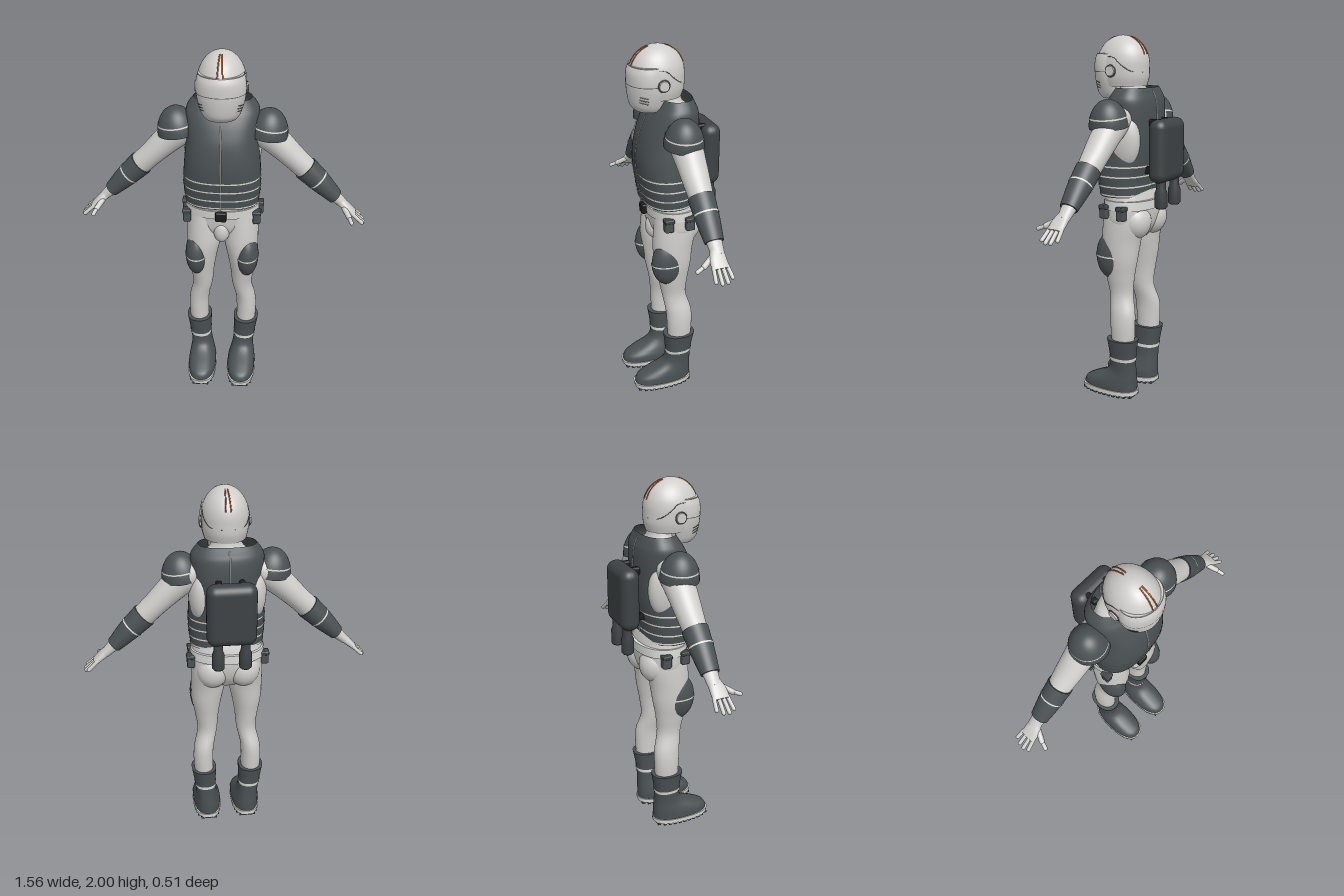
import * as THREE from 'three';
import { RoundedBoxGeometry } from 'three/addons/geometries/RoundedBoxGeometry.js';

const material = (name, color, side = THREE.FrontSide) => {
  const m = new THREE.MeshStandardMaterial({ color, side });
  m.name = name;
  return m;
};

// Vertical ring: height, centre x, half width, back z, front z -> [x, y, z, half depth, half width]
const ring = (y, cx, rx, zb, zf) => [cx, y, (zb + zf) / 2, (zf - zb) / 2, rx];
const spline = (a, b, c, d, t) => b + 0.5 * t * (c - a + t * (2 * a - 5 * b + 4 * c - d + t * (3 * (b - c) + d - a)));

// Fill in rings between the given ones on a smooth curve
function smooth(rings, k = 6) {
  const out = [], last = rings.length - 1;
  for (let i = 0; i < last; i++) {
    const [a, b, c, d] = [rings[Math.max(i - 1, 0)], rings[i], rings[i + 1], rings[Math.min(i + 2, last)]];
    for (let j = 0; j < k; j++) out.push(b.map((v, q) => spline(a[q], v, c[q], d[q], j / k)));
  }
  out.push(rings[last]);
  return out;
}

// Ring at height y in a dense list, grown by `grow`
function ringAt(dense, y, grow = 0) {
  let i = 0;
  while (i < dense.length - 2 && dense[i + 1][1] < y) i++;
  const t = (y - dense[i][1]) / (dense[i + 1][1] - dense[i][1]);
  return dense[i].map((v, q) => v + (dense[i + 1][q] - v) * t + (q > 2 ? grow : 0));
}

// Skin of superellipse rings; `dir` is the direction in which the rings advance
function loft(rings, { n = 2, caps = true, seg = 40, dir = [0, 1, 0] } = {}) {
  const U = new THREE.Vector3(0, 0, 1), V = new THREE.Vector3(...dir).normalize().cross(U);
  const pos = [], idx = [], p = new THREE.Vector3();
  const pow = (v) => Math.sign(v) * Math.abs(v) ** (2 / n);
  const addRing = ([x, y, z, ru, rv]) => {
    for (let j = 0; j < seg; j++) {
      const t = (j / seg) * Math.PI * 2;
      p.set(x, y, z).addScaledVector(U, ru * pow(Math.cos(t))).addScaledVector(V, rv * pow(Math.sin(t)));
      pos.push(p.x, p.y, p.z);
    }
  };
  rings.forEach(addRing);
  for (let i = 0; i < rings.length - 1; i++) for (let j = 0; j < seg; j++) {
    const a = i * seg + j, b = i * seg + (j + 1) % seg;
    idx.push(a, b, a + seg, b, b + seg, a + seg);
  }
  if (caps) [rings[0], rings[rings.length - 1]].forEach((r, end) => {
    const base = pos.length / 3;
    addRing(r);
    pos.push(r[0], r[1], r[2]);
    for (let j = 0; j < seg; j++) {
      const a = base + j, b = base + (j + 1) % seg;
      idx.push(base + seg, end ? a : b, end ? b : a);
    }
  });
  const g = new THREE.BufferGeometry();
  g.setAttribute('position', new THREE.Float32BufferAttribute(pos, 3));
  g.setIndex(idx);
  g.computeVertexNormals();
  return g;
}

export function createModel() {
  const model = new THREE.Group();
  const suit = material('light suit', 0xcfcecb);
  const armour = material('dark armour', 0x4b5153, THREE.DoubleSide);
  const trim = material('pale trim', 0xdadad6, THREE.DoubleSide);
  const packMat = material('pack charcoal', 0x3e4244);
  const black = material('black', 0x1b1c1d);
  const seam = material('seam grey', 0x5e6061, THREE.DoubleSide);
  const orange = material('orange', 0xc8662c);

  const add = (name, geo, mat, x = 0, y = 0, z = 0) => {
    const m = new THREE.Mesh(geo, mat);
    m.name = name;
    m.position.set(x, y, z);
    model.add(m);
    return m;
  };
  const ball = (name, mat, x, y, z, rx, ry, rz) =>
    add(name, new THREE.SphereGeometry(1, 32, 24), mat, x, y, z).scale.set(rx, ry, rz);
  const band = (name, dense, y, h, mat, n = 2, grow = 0.003) =>
    add(name, loft([ringAt(dense, y - h / 2, grow), ringAt(dense, y + h / 2, grow)], { n, caps: false }), mat);
  const capsule = (name, a, b, r, mat) => {
    const A = new THREE.Vector3(...a), B = new THREE.Vector3(...b), d = B.clone().sub(A);
    const m = add(name, new THREE.CapsuleGeometry(r, d.length(), 6, 12), mat);
    m.position.copy(A).add(B).multiplyScalar(0.5);
    m.quaternion.setFromUnitVectors(new THREE.Vector3(0, 1, 0), d.normalize());
  };
  const tube = (name, pts, r, mat) =>
    add(name, new THREE.TubeGeometry(new THREE.CatmullRomCurve3(pts.map((p) => new THREE.Vector3(...p))), 20, r, 6), mat);
  // Point on the side of a shell from height and depth
  const sidePoint = (dense, y, z, s) => {
    const r = ringAt(dense, y);
    return [s * r[4] * Math.sqrt(Math.max(0, 1 - ((z - r[2]) / r[3]) ** 2)), y, z];
  };

  // Hips, neck and belt
  const hips = smooth([ring(0.92, 0, 0.07, -0.08, 0.05), ring(0.99, 0, 0.185, -0.125, 0.105),
    ring(1.08, 0, 0.198, -0.14, 0.122), ring(1.16, 0, 0.188, -0.125, 0.13), ring(1.22, 0, 0.18, -0.1, 0.13)]);
  add('hips', loft(hips, { n: 2.2 }), suit);
  ball('groin', suit, 0, 0.99, 0.085, 0.045, 0.07, 0.045);
  add('belt', loft([ring(1.085, 0, 0.203, -0.15, 0.132), ring(1.135, 0, 0.2, -0.15, 0.137)], { n: 2.2 }), trim);
  add('buckle', new RoundedBoxGeometry(0.06, 0.055, 0.03, 2, 0.008), black, 0, 1.108, 0.142);
  add('neck', loft(smooth([ring(1.58, 0, 0.16, -0.12, 0.08), ring(1.67, 0, 0.13, -0.1, 0.06),
    ring(1.71, 0, 0.085, -0.07, 0.075), ring(1.78, 0, 0.075, -0.06, 0.1)])), suit);

  // Vest with open collar, trim lines and zip
  const vest = smooth([ring(1.155, 0, 0.198, -0.115, 0.15), ring(1.25, 0, 0.207, -0.12, 0.166),
    ring(1.33, 0, 0.206, -0.135, 0.178), ring(1.42, 0, 0.199, -0.145, 0.181), ring(1.52, 0, 0.19, -0.15, 0.166),
    ring(1.6, 0, 0.192, -0.15, 0.137), ring(1.66, 0, 0.192, -0.143, 0.105), ring(1.695, 0, 0.178, -0.13, 0.08),
    ring(1.73, 0, 0.15, -0.115, 0.06)]);
  add('vest', loft(vest, { n: 2.4, caps: false, seg: 56 }), armour);
  add('vestHem', loft(vest.slice(0, 2), { n: 2.4 }), armour);
  for (const y of [1.165, 1.212, 1.266, 1.32]) band('vestLine', vest, y, 0.008, trim, 2.4);
  const zip = (name, y0, y1, q) => add(name, loft(vest.filter((r) => r[1] > y0 && r[1] < y1).map((r) =>
    [0, r[1], r[2] + q * r[3], 0.003, 0.0035]), { seg: 8 }), trim);
  zip('frontZip', 1.15, 1.66, 1);
  zip('backSeam', 1.15, 1.72, -1);

  // Helmet, face mask and seams
  const helmet = smooth([ring(1.735, 0, 0.11, -0.07, 0.19), ring(1.78, 0, 0.121, -0.083, 0.207),
    ring(1.83, 0, 0.124, -0.085, 0.213), ring(1.87, 0, 0.122, -0.084, 0.211), ring(1.91, 0, 0.112, -0.074, 0.197),
    ring(1.95, 0, 0.09, -0.05, 0.172), ring(1.98, 0, 0.06, -0.012, 0.135), ring(1.995, 0, 0.03, 0.026, 0.097),
    ring(2, 0, 0.003, 0.06, 0.066)]);
  add('helmet', loft(helmet), suit);
  const mask = smooth([ring(1.67, 0, 0.082, 0.03, 0.18), ring(1.7, 0, 0.1, 0.015, 0.204),
    ring(1.76, 0, 0.118, 0.005, 0.216), ring(1.82, 0, 0.126, 0.01, 0.219), ring(1.87, 0, 0.123, 0.01, 0.217),
    ring(1.905, 0, 0.114, 0.015, 0.203)]);
  add('faceMask', loft(mask), suit);
  for (const y of [1.81, 1.902]) band('visorSeam', mask, y, 0.004, seam, 2, 0.001);

  for (const s of [-1, 1]) {
    // Helmet ear disc, vents, rim seam and stripes
    add('earDisc', new THREE.CylinderGeometry(0.026, 0.03, 0.02, 24), suit, s * 0.124, 1.815, 0.065).rotation.z = -s * Math.PI / 2;
    add('earRing', new THREE.TorusGeometry(0.03, 0.003, 8, 28), seam, s * 0.125, 1.815, 0.065).rotation.y = Math.PI / 2;
    for (const y of [1.722, 1.737, 1.752])
      tube('maskVent', [0.14, 0.16, 0.18].map((z, i) => sidePoint(mask, y + i * 0.004, z, s)), 0.0025, seam);
    tube('helmetRim', [[1.89, 0.09], [1.885, 0.05], [1.85, 0.01], [1.815, -0.04], [1.81, -0.08]].map(([y, z]) =>
      sidePoint(helmet, y, z, s)), 0.002, seam);
    for (const q of [1, -1]) tube('helmetStripe', [1.9, 1.93, 1.96, 1.982, 1.992].map((y, i) => {
      const r = ringAt(helmet, y);
      return [s * (0.014 - i * 0.002), y, r[2] + q * r[3]];
    }), 0.0035, orange);

    // Leg
    add('leg', loft(smooth([ring(0.32, s * 0.138, 0.055, -0.085, 0.05), ring(0.42, s * 0.14, 0.057, -0.09, 0.055),
      ring(0.5, s * 0.134, 0.056, -0.087, 0.06), ring(0.6, s * 0.113, 0.056, -0.062, 0.075),
      ring(0.7, s * 0.114, 0.067, -0.07, 0.096), ring(0.8, s * 0.113, 0.083, -0.087, 0.115),
      ring(0.9, s * 0.105, 0.095, -0.1, 0.123), ring(1, s * 0.103, 0.095, -0.12, 0.118),
      ring(1.09, s * 0.1, 0.09, -0.12, 0.11)])), suit);
    ball('buttock', suit, s * 0.085, 1.015, -0.065, 0.09, 0.1, 0.087);
    ball('thighPad', armour, s * 0.141, 0.82, 0.052, 0.064, 0.132, 0.092);
    add('thighPadLine', loft([0.816, 0.824].map((y) => ring(y, s * 0.141, 0.066, -0.042, 0.147)), { caps: false }), trim);

    // Boot, sole and treads
    const boot = smooth([ring(0.03, s * 0.117, 0.08, -0.087, 0.247), ring(0.07, s * 0.117, 0.081, -0.088, 0.235),
      ring(0.1, s * 0.119, 0.075, -0.088, 0.185), ring(0.14, s * 0.122, 0.064, -0.086, 0.1),
      ring(0.18, s * 0.126, 0.06, -0.085, 0.066), ring(0.25, s * 0.132, 0.063, -0.089, 0.063),
      ring(0.345, s * 0.138, 0.072, -0.105, 0.075)]);
    add('boot', loft(boot, { n: 2.3 }), armour);
    band('bootBand', boot, 0.23, 0.018, trim, 2.3);
    add('sole', loft([ring(0.012, s * 0.117, 0.082, -0.09, 0.25), ring(0.038, s * 0.117, 0.085, -0.092, 0.254)], { n: 2.5 }), trim);
    for (let i = 0; i < 11; i++) {
      const z = -0.07 + i * 0.03, w = 0.158 * (1 - Math.abs((z - 0.08) / 0.17) ** 2.5) ** 0.4;
      add('tread', new THREE.BoxGeometry(w, 0.014, 0.017), armour, s * 0.117, 0.007, z);
    }

    // Belt pouches
    for (const [x, z] of [[0.19, 0.065], [0.203, -0.05]]) {
      add('pouch', new RoundedBoxGeometry(0.042, 0.068, 0.05, 2, 0.01), armour, s * x, 1.07, z);
      add('pouchFlap', new RoundedBoxGeometry(0.047, 0.022, 0.055, 2, 0.006), packMat, s * x, 1.1, z);
    }

    // Arm, flank inside the armhole, shoulder pad and forearm guard
    const dir = [s * 0.72, -0.69, 0];
    const section = (x, y, rz, rp) => [s * x, y, -0.008, rz, rp];
    ball('flank', suit, s * 0.145, 1.46, -0.03, 0.062, 0.155, 0.095);
    add('arm', loft(smooth([section(0.13, 1.6, 0.08, 0.07), section(0.22, 1.545, 0.085, 0.08),
      section(0.3, 1.477, 0.078, 0.073), section(0.38, 1.4, 0.07, 0.064), section(0.45, 1.332, 0.061, 0.061),
      section(0.53, 1.255, 0.053, 0.05), section(0.61, 1.176, 0.04, 0.033), section(0.66, 1.13, 0.034, 0.024)]), { dir }), suit);
    const guard = smooth([section(0.44, 1.341, 0.068, 0.068), section(0.53, 1.255, 0.061, 0.058), section(0.61, 1.176, 0.049, 0.041)]);
    add('forearmGuard', loft(guard, { dir }), armour);
    add('forearmBand', loft([guard[4], guard[5]].map((r, i) => [s * (0.505 + i * 0.006), 1.279 - i * 0.006, r[2], 0.066, 0.0635]),
      { dir, caps: false }), trim);
    const pad = add('shoulderPad', new THREE.SphereGeometry(1, 36, 16, 0, Math.PI * 2, 0, Math.PI / 2), armour, s * 0.235, 1.535, 0.003);
    pad.scale.set(0.105, 0.145, 0.104);
    pad.rotation.z = -s * 0.12;
    const padLine = add('shoulderPadLine', new THREE.CylinderGeometry(0.928, 0.941, 0.055, 36, 1, true), trim);
    padLine.position.set(s * 0.242, 1.588, 0.003);
    padLine.scale.set(0.105, 0.14, 0.106);
    padLine.rotation.z = -s * 0.12;

    // Hand
    add('palm', loft(smooth([[s * 0.64, 1.148, -0.006, 0.033, 0.024], [s * 0.675, 1.118, 0, 0.043, 0.021],
      [s * 0.715, 1.083, 0, 0.045, 0.015]]), { dir, n: 2.4 }), suit);
    [-0.036, -0.012, 0.012, 0.035].forEach((z, i) => {
      const l = [0.045, 0.06, 0.062, 0.052][i];
      capsule('finger', [s * 0.705, 1.092, z], [s * (0.708 + l), 1.088 - l * 0.85, z * 1.25], 0.0105, suit);
    });
    capsule('thumb', [s * 0.66, 1.122, 0.028], [s * 0.685, 1.095, 0.075], 0.015, suit);
    capsule('thumbTip', [s * 0.685, 1.095, 0.075], [s * 0.697, 1.08, 0.113], 0.011, suit);

    // Backpack mounts and bottles
    add('packStrap', new RoundedBoxGeometry(0.03, 0.04, 0.09, 2, 0.01), black, s * 0.06, 1.55, -0.165);
    add('packMount', new THREE.BoxGeometry(0.03, 0.04, 0.08), black, s * 0.06, 1.3, -0.15);
    const bottle = [[0.001, 0], [0.026, 0], [0.034, 0.01], [0.034, 0.085], [0.026, 0.105], [0.024, 0.16]];
    add('bottle', new THREE.LatheGeometry(bottle.map(([r, y]) => new THREE.Vector2(r, y)), 24), black, s * 0.072, 1.1, -0.217).material = packMat;
  }

  // Backpack
  add('backpack', new RoundedBoxGeometry(0.262, 0.335, 0.104, 6, 0.048), packMat, 0, 1.405, -0.208);
  return model;
}
